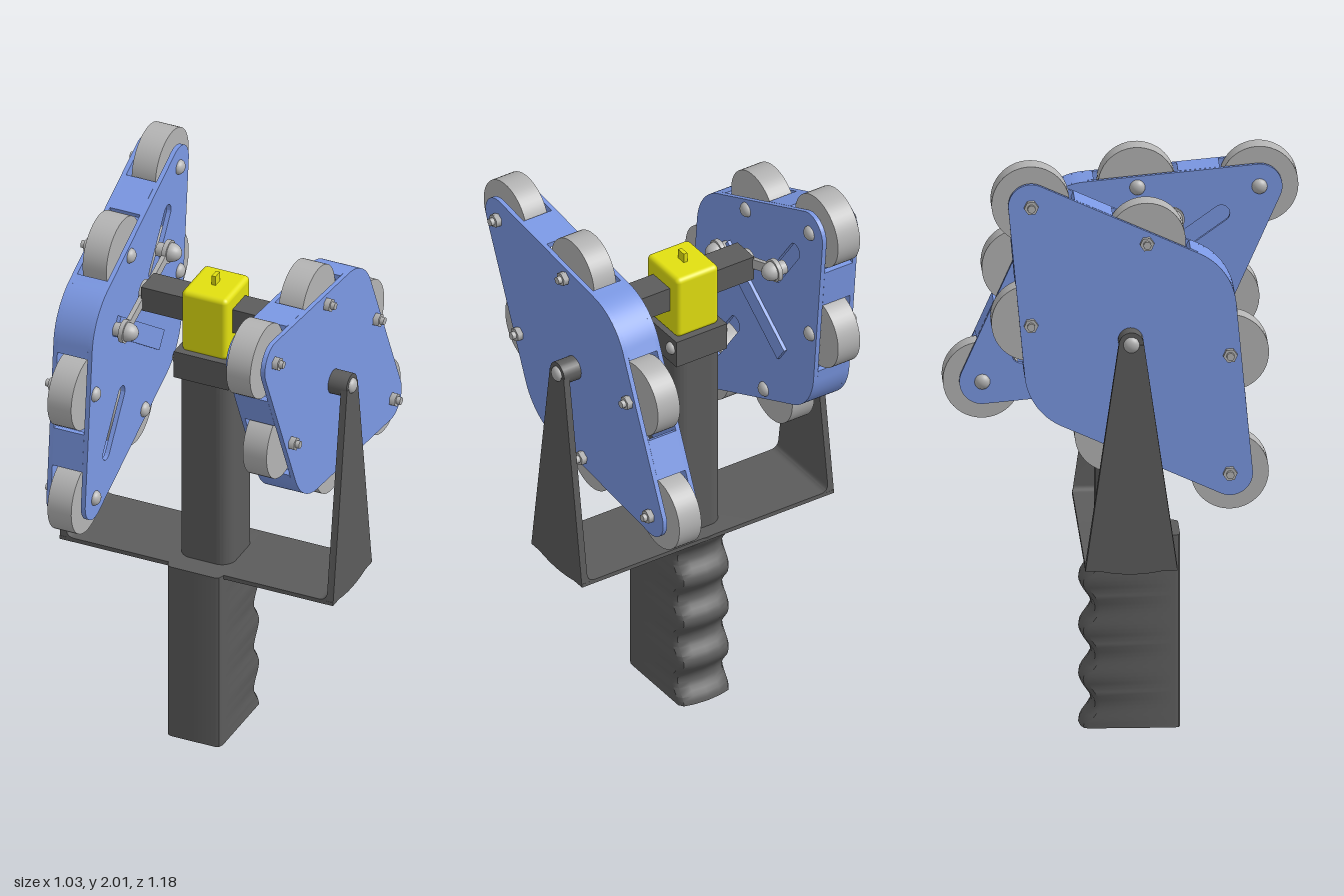
import * as THREE from 'three';
import { toCreasedNormals, mergeVertices } from 'three/addons/utils/BufferGeometryUtils.js';
import { RoundedBoxGeometry } from 'three/addons/geometries/RoundedBoxGeometry.js';

const mat = (color) => new THREE.MeshStandardMaterial({ color });
const BLUE = mat(0x7b98e4), DARK = mat(0x5c5c5c), STEEL = mat(0xb4b4b4), YELLOW = mat(0xe2e010);
const PIVOT = 1.42;

function add(parent, name, geo, material, x = 0, y = 0, z = 0) {
  const m = new THREE.Mesh(geo, material);
  m.name = name;
  m.position.set(x, y, z);
  parent.add(m);
  return m;
}

// Extrudes a shape drawn in (z, y) from x0 to x1
function slab(shape, x0, x1) {
  const g = new THREE.ExtrudeGeometry(shape, { depth: x1 - x0, bevelEnabled: false, curveSegments: 20 });
  g.rotateY(-Math.PI / 2).translate(x1, 0, 0);
  return toCreasedNormals(g, 0.6);
}

// Cylinder along x from x0 to x1
const rod = (r, x0, x1, sides = 24) =>
  new THREE.CylinderGeometry(r, r, x1 - x0, sides).rotateZ(-Math.PI / 2).translate((x0 + x1) / 2, 0, 0);

// Half dome bulging along x; dir is +1 or -1
const dome = (r, height, dir) =>
  new THREE.SphereGeometry(r, 20, 8, 0, Math.PI * 2, 0, Math.PI / 2)
    .scale(1, height / r, 1).rotateZ(-dir * Math.PI / 2);

// Rhombus plate: hull of two small tip circles and two large side circles
const TIP = 0.566, TIP_R = 0.076, SIDE = 0.175, SIDE_R = 0.21, PHI = 1.04;
function plateShape(slots) {
  const s = new THREE.Shape();
  s.absarc(TIP, 0, TIP_R, -PHI, PHI);
  s.absarc(0, SIDE, SIDE_R, PHI, Math.PI - PHI);
  s.absarc(-TIP, 0, TIP_R, Math.PI - PHI, Math.PI + PHI);
  s.absarc(0, -SIDE, SIDE_R, Math.PI + PHI, 2 * Math.PI - PHI);
  s.closePath();
  if (slots) for (const k of [-1, 1]) {
    const h = new THREE.Path();
    h.absarc(k * 0.31 + 0.1, 0, 0.028, -Math.PI / 2, Math.PI / 2);
    h.absarc(k * 0.31 - 0.1, 0, 0.028, Math.PI / 2, 1.5 * Math.PI);
    h.closePath();
    s.holes.push(h);
  }
  return s;
}

// Wheel carrier: two plates, rim walls and six bolted wheels; the outside is +x
function wheelUnit(name) {
  const g = new THREE.Group();
  g.name = name;
  add(g, 'outerPlate', slab(plateShape(false), 0.414, 0.43), BLUE);
  add(g, 'innerPlate', slab(plateShape(true), 0.288, 0.304), BLUE);
  add(g, 'crossBar', new THREE.BoxGeometry(0.013, 0.42, 0.07), BLUE, 0.2825, 0, 0);

  const n = [Math.cos(PHI), Math.sin(PHI)], t = [-n[1], n[0]];
  const edge = (d, inset) =>
    [TIP + n[0] * (TIP_R - inset) + t[0] * d, n[1] * (TIP_R - inset) + t[1] * d];
  for (const v of [-1, 1]) {
    // Long wall around the blunt corner
    const pts = [];
    for (const [r, dir] of [[SIDE_R, 1], [SIDE_R - 0.02, -1]]) {
      const row = [edge(0.545, SIDE_R - r)];
      for (let i = 0; i <= 16; i++) {
        const a = PHI + (Math.PI - 2 * PHI) * i / 16;
        row.push([r * Math.cos(a), SIDE + r * Math.sin(a)]);
      }
      row.push([-row[0][0], row[0][1]]);
      pts.push(...(dir > 0 ? row : row.reverse()));
    }
    add(g, 'sideWall', slab(new THREE.Shape(pts.map(([z, y]) => new THREE.Vector2(z, y * v))), 0.304, 0.414), BLUE);
    // Short walls between neighbouring wheels
    for (const u of [-1, 1]) {
      const q = [edge(0.125, 0), edge(0.264, 0), edge(0.264, 0.02), edge(0.125, 0.02)];
      add(g, 'shortWall', slab(new THREE.Shape(q.map(([z, y]) => new THREE.Vector2(z * u, y * v))), 0.304, 0.414), BLUE);
    }
  }

  // Wheels with through bolts
  const M = 0.237;
  for (const [z, y] of [[TIP, 0], [-TIP, 0], [M, M], [M, -M], [-M, M], [-M, -M]]) {
    const w = new THREE.Group();
    w.name = 'wheel';
    w.position.set(0, y, z);
    add(w, 'tyre', rod(0.13, 0.314, 0.401, 48), STEEL);
    add(w, 'bolt', rod(0.013, 0.28, 0.464, 16), STEEL);
    add(w, 'nut', rod(0.024, 0.43, 0.45, 6), STEEL);
    add(w, 'boltHead', dome(0.026, 0.02, -1), STEEL, 0.288, 0, 0);
    g.add(w);
  }
  g.position.y = PIVOT;
  return g;
}

// Link arm with pins, built for the +x side
function linkArm(name) {
  const g = new THREE.Group();
  g.name = name;
  const arm = new THREE.Group();
  arm.position.y = 1.59;
  arm.rotation.x = -Math.atan2(0.06, 0.17);
  add(arm, 'link', new THREE.BoxGeometry(0.016, 0.035, 0.36), STEEL, 0.253, 0, 0);
  add(arm, 'hub', rod(0.04, 0.243, 0.265), STEEL);
  for (const z of [-0.18, 0.18]) {
    add(arm, 'eye', rod(0.04, 0.245, 0.261), STEEL, 0, 0, z);
    add(arm, 'pin', rod(0.024, 0.261, 0.29), STEEL, 0, 0, z);
    add(arm, 'pinCap', dome(0.033, 0.04, -1), STEEL, 0.245, 0, z);
  }
  g.add(arm);
  return g;
}

// Grip: cross-sections with finger waves along the back
function gripGeometry() {
  const pos = [], idx = [], rows = 48, H = 0.66;
  let n = 0;
  for (let r = 0; r <= rows; r++) {
    const y = H * r / rows;
    const b = -0.135 - 0.02 * Math.cos(2 * Math.PI * 4 * y / H);
    const half = [[0.08, 0.18], [0.094, 0.174], [0.1, 0.16], [0.1, b + 0.03], [0.088, b + 0.013], [0.05, b + 0.004]];
    const ring = [[0, 0.18], ...half, [0, b], ...half.map(([x, z]) => [-x, z]).reverse()];
    n = ring.length;
    for (const [x, z] of ring) pos.push(x, y, z);
  }
  for (let r = 0; r < rows; r++) for (let i = 0; i < n; i++) {
    const a = r * n + i, c = r * n + (i + 1) % n;
    idx.push(a, c, c + n, a, c + n, a + n);
  }
  const base = pos.length / 3;
  pos.push(0, 0, 0, 0, H, 0);
  for (let i = 0; i < n; i++) {
    const j = (i + 1) % n;
    idx.push(base, j, i, base + 1, rows * n + i, rows * n + j);
  }
  const g = new THREE.BufferGeometry();
  g.setAttribute('position', new THREE.Float32BufferAttribute(pos, 3));
  g.setIndex(idx);
  return toCreasedNormals(g, 0.7);
}

// Upright column with rounded corners
function columnGeometry(w, d, r, h) {
  const s = new THREE.Shape();
  s.absarc(w - r, d - r, r, 0, Math.PI / 2);
  s.absarc(r - w, d - r, r, Math.PI / 2, Math.PI);
  s.absarc(r - w, r - d, r, Math.PI, 1.5 * Math.PI);
  s.absarc(w - r, r - d, r, 1.5 * Math.PI, 2 * Math.PI);
  const g = new THREE.ExtrudeGeometry(s, { depth: h, bevelEnabled: false, curveSegments: 10 });
  return toCreasedNormals(g.rotateX(-Math.PI / 2), 0.6);
}

// U bracket whose uprights taper towards the pivot
function bracketGeometry() {
  const s = new THREE.Shape();
  s.moveTo(-0.5, PIVOT);
  s.lineTo(-0.5, 0.645);
  s.lineTo(0.5, 0.645);
  s.lineTo(0.5, PIVOT);
  s.lineTo(0.477, PIVOT);
  s.lineTo(0.477, 0.69);
  s.quadraticCurveTo(0.477, 0.66, 0.447, 0.66);
  s.lineTo(-0.447, 0.66);
  s.quadraticCurveTo(-0.477, 0.66, -0.477, 0.69);
  s.lineTo(-0.477, PIVOT);
  s.closePath();
  const g = new THREE.ExtrudeGeometry(s, { depth: 2, bevelEnabled: false, curveSegments: 6 }).translate(0, 0, -1);
  const p = g.attributes.position;
  for (let i = 0; i < p.count; i++) {
    const k = Math.max(0, (p.getY(i) - 0.66) / (PIVOT - 0.66));
    p.setZ(i, p.getZ(i) * THREE.MathUtils.lerp(0.153, 0.042, k));
  }
  return toCreasedNormals(g, 0.5);
}

export function createModel() {
  const model = new THREE.Group();
  model.name = 'wheeledHandTool';

  // Handle
  add(model, 'grip', gripGeometry(), DARK);
  add(model, 'column', columnGeometry(0.097, 0.1, 0.05, 0.72), DARK, 0, 0.65, 0);
  add(model, 'collar', new THREE.BoxGeometry(0.2, 0.1, 0.23), DARK, 0, 1.41, 0);
  for (const s of [-1, 1]) for (const z of [-0.083, 0.083])
    add(model, 'collarBolt', dome(0.022, 0.018, s), STEEL, s * 0.1, PIVOT, z);

  // Bracket with a bowed underside
  add(model, 'bracket', bracketGeometry(), DARK);
  const bow = new THREE.Shape();
  bow.moveTo(-0.153, 0.658);
  bow.lineTo(0.153, 0.658);
  bow.quadraticCurveTo(0, 0.61, -0.153, 0.658);
  add(model, 'bracketUnderside', slab(bow, -0.5, 0.5), DARK);

  // Head: block, cross shaft and top pin
  add(model, 'block', new RoundedBoxGeometry(0.168, 0.235, 0.19, 4, 0.018), YELLOW, 0, 1.573, 0);
  add(model, 'crossShaft', new THREE.BoxGeometry(0.5, 0.09, 0.1), DARK, 0, 1.59, 0);
  add(model, 'topPin', new THREE.BoxGeometry(0.014, 0.05, 0.034), YELLOW, 0, 1.7, 0);

  // Both sides: wheel unit, link arm and pivot
  const tilt = Math.atan2(0.33, 0.46);
  const leftUnit = wheelUnit('leftWheelUnit');
  leftUnit.rotation.x = -tilt;
  const rightUnit = wheelUnit('rightWheelUnit');
  rightUnit.rotation.set(Math.PI / 2 - tilt, Math.PI, 0);
  const rightArm = linkArm('rightLinkArm');
  rightArm.rotation.y = Math.PI;
  model.add(leftUnit, rightUnit, linkArm('leftLinkArm'), rightArm);
  for (const s of [-1, 1]) {
    const boss = rod(0.042, 0.43, 0.497).scale(1, 1, 1);
    if (s < 0) boss.rotateY(Math.PI);
    add(model, 'pivotBoss', boss, DARK, 0, PIVOT, 0);
    add(model, 'pivotScrew', dome(0.027, 0.018, s), STEEL, s * 0.497, PIVOT, 0);
  }
  return model;
}
